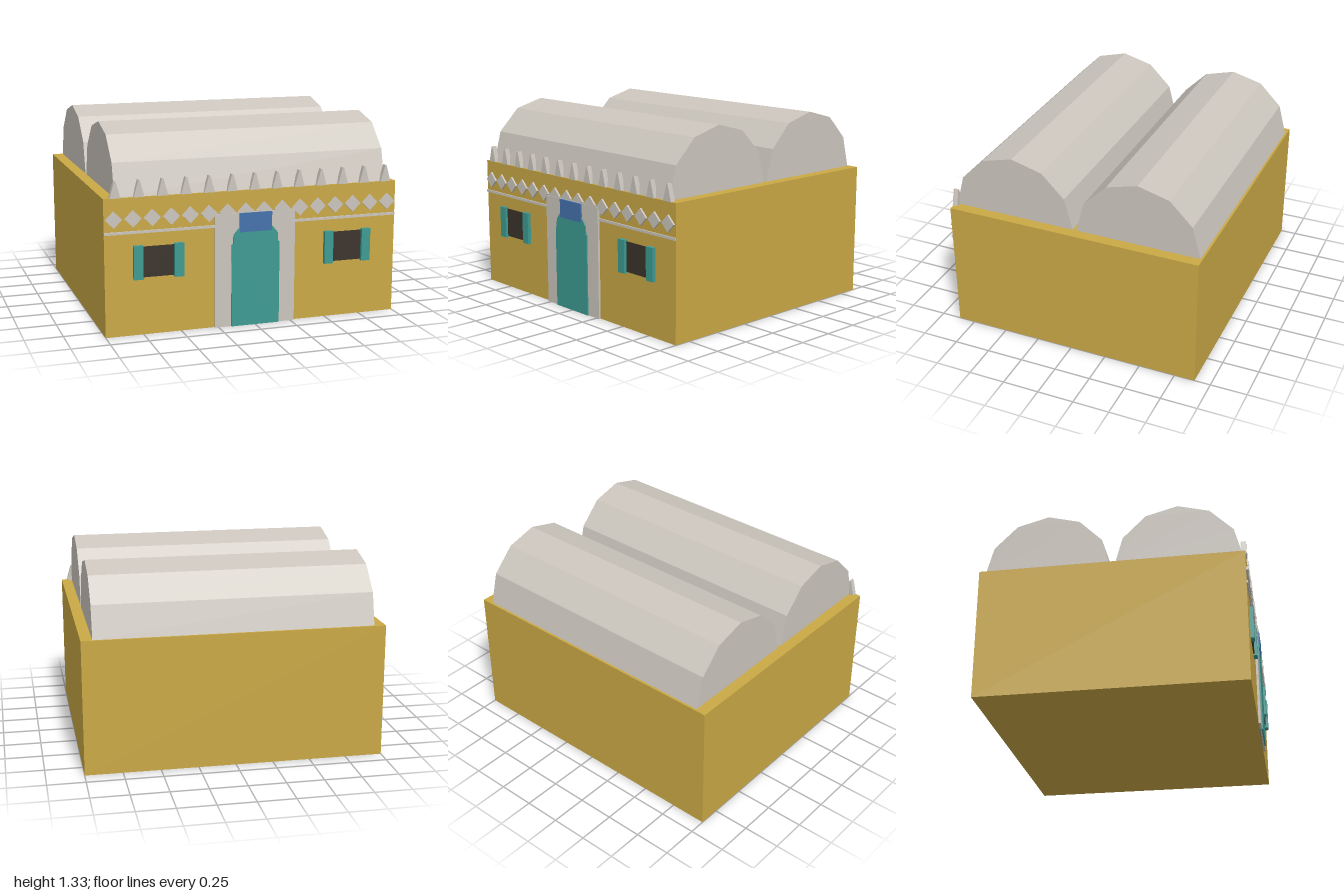
import * as THREE from 'three';

const mat = (name, color) => {
  const m = new THREE.MeshStandardMaterial({ color });
  m.name = name;
  return m;
};

// Solid from a 2D outline, spanning z0..z1
function slab(points, z0, z1) {
  const shape = new THREE.Shape(points.map(([x, y]) => new THREE.Vector2(x, y)));
  const g = new THREE.ExtrudeGeometry(shape, { depth: z1 - z0, bevelEnabled: false });
  return g.translate(0, 0, z0);
}

// Box given by its limits
function block(x0, x1, y0, y1, z0, z1) {
  return new THREE.BoxGeometry(x1 - x0, y1 - y0, z1 - z0)
    .translate((x0 + x1) / 2, (y0 + y1) / 2, (z0 + z1) / 2);
}

export function createModel() {
  const ochre = mat('ochre wall', 0xc9a845);
  const plaster = mat('pale plaster', 0xcbc5bd);
  const teal = mat('teal paint', 0x3d9a92);
  const blue = mat('blue paint', 0x4472ad);
  const dark = mat('dark opening', 0x3b332d);

  const house = new THREE.Group();
  house.name = 'house';
  const add = (name, geometry, material) => {
    const mesh = new THREE.Mesh(geometry, material);
    mesh.name = name;
    house.add(mesh);
    return mesh;
  };

  const front = 0.865;
  add('walls', block(-1, 1, 0, 0.9, -0.89, front), ochre);

  // Two faceted barrel vaults running along x
  const arch = [];
  for (let i = 0; i <= 6; i++) {
    const a = (i * Math.PI) / 6;
    arch.push([0.425 * Math.cos(a), 0.425 * Math.sin(a)]);
  }
  for (const [name, z] of [['frontVault', 0.425], ['rearVault', -0.45]]) {
    add(name, slab(arch, -0.925, 0.925).rotateY(Math.PI / 2), plaster).position.set(0, 0.9, z);
  }

  // Pointed crest along the front parapet
  const spike = slab([[-0.035, 0], [0.035, 0], [0.005, 0.11], [-0.005, 0.11]], 0.835, 0.87);
  for (let i = 0; i < 13; i++) {
    add('parapetSpike', spike, plaster).position.set(-0.925 + i * 0.1542, 0.9, 0);
  }

  // Diamond frieze and the thin moulding under it
  const diamond = slab([[-0.055, 0], [0, -0.055], [0.055, 0], [0, 0.055]], front, 0.878);
  for (let i = 0; i < 16; i++) {
    add('friezeDiamond', diamond, plaster).position.set(-0.9375 + i * 0.125, 0.765, 0);
  }
  add('moulding', block(-1, 1, 0.668, 0.685, front, 0.874), plaster);

  // Doorway
  add('doorSurround', block(-0.275, 0.275, 0, 0.757, front, 0.88), plaster);
  const half = [[0.165, 0], [0.165, 0.55], [0.155, 0.555], [0.152, 0.612], [0.108, 0.665], [0.108, 0.75]];
  const mirrored = half.map(([x, y]) => [-x, y]).reverse();
  add('door', slab([...half, ...mirrored], front, 0.888), teal);
  add('doorPanel', block(-0.11, 0.11, 0.63, 0.755, front, 0.892), blue);

  // Windows with open shutters, one each side
  for (const s of [-1, 1]) {
    const c = s * 0.65;
    add('window', block(c - 0.102, c + 0.102, 0.38, 0.58, front, 0.872), dark);
    for (const t of [-1, 1]) {
      const x = c + t * 0.134;
      add('shutter', block(x - 0.031, x + 0.031, 0.37, 0.59, front, 0.89), teal);
    }
  }
  return house;
}
